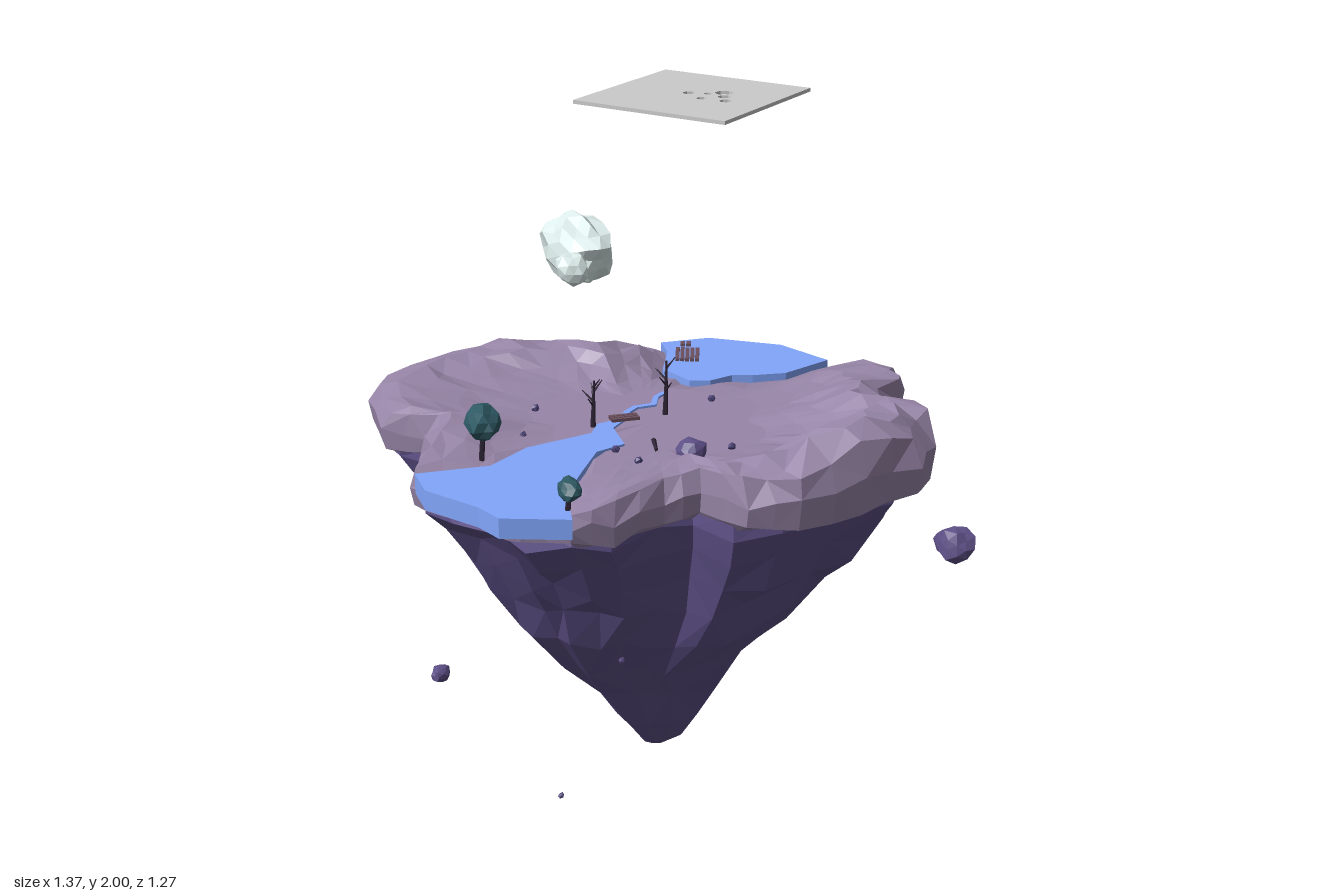
import * as THREE from 'three';

const mat = (color) => new THREE.MeshStandardMaterial({ color, flatShading: true });
const soil = mat(0x9886a8), stone = mat(0x5e5188), pebble = mat(0x4d4478), water = mat(0x82a6fb);
const leaf = mat(0x2f5a65), bark = mat(0x2f2637), plank = mat(0x6b4f5c), mist = mat(0xdeeeec), grey = mat(0xcccccc);

// Repeatable noise in -1..1
const noise = (a, b, c = 0) => {
  const s = Math.sin(a * 127.1 + b * 311.7 + c * 74.7) * 43758.5453;
  return (s - Math.floor(s)) * 2 - 1;
};
const named = (o, name) => { o.name = name; return o; };
const BASE = 1.115, WATER = 1.12;

// Island outline, running from +x towards +z: x, z, ridge height
const outline = [
  [0.655, -0.1, 1.22], [0.6, 0.04, 1.23], [0.53, 0.18, 1.18], [0.45, 0.26, 1.17], [0.32, 0.245, 1.16],
  [0.28, 0.32, 1.15], [0.26, 0.47, 1.14], [0.2, 0.54, 1.12], [0.09, 0.57, 1.09], [0.02, 0.56, 1.09],
  [-0.13, 0.56, 1.09], [-0.23, 0.545, 1.13], [-0.31, 0.42, 1.16], [-0.38, 0.325, 1.15], [-0.49, 0.35, 1.15],
  [-0.64, 0.23, 1.15], [-0.685, 0.09, 1.15], [-0.655, -0.055, 1.16], [-0.58, -0.165, 1.17], [-0.49, -0.255, 1.17],
  [-0.36, -0.27, 1.17], [-0.335, -0.42, 1.14], [-0.27, -0.47, 1.1], [-0.2, -0.53, 1.09], [-0.05, -0.58, 1.09],
  [0.09, -0.59, 1.1], [0.2, -0.635, 1.14], [0.29, -0.62, 1.15], [0.35, -0.55, 1.16], [0.385, -0.44, 1.17],
  [0.42, -0.35, 1.19], [0.54, -0.31, 1.21], [0.62, -0.22, 1.22],
];
const rim = outline.flatMap((p, i) => {
  const q = outline[(i + 1) % outline.length];
  return [p, p.map((v, k) => ((v + q[k]) / 2) * (k < 2 ? 1 + 0.015 * noise(i, 7) : 1))];
});

// Lake outlines: x, z
const frontLake = [
  [-0.21, 0.55], [-0.11, 0.42], [-0.115, 0.29], [-0.08, 0.2], [-0.055, 0.135], [-0.08, 0.08], [-0.06, 0.03],
  [-0.08, -0.02], [-0.085, -0.06], [-0.062, -0.1], [-0.085, -0.14], [-0.088, -0.18], [-0.076, -0.18],
  [-0.073, -0.145], [-0.046, -0.1], [-0.07, -0.06], [-0.066, -0.025], [-0.045, 0.03], [-0.035, 0.08],
  [0.045, 0.145], [0.025, 0.22], [0.07, 0.33], [0.1, 0.4], [0.15, 0.48], [0.215, 0.55], [0.09, 0.633],
  [0.02, 0.613], [-0.13, 0.608]];
const backLake = [
  [0.105, -0.6], [0.075, -0.46], [0.02, -0.4], [-0.02, -0.37], [-0.04, -0.31], [-0.08, -0.28], [-0.18, -0.31],
  [-0.245, -0.42], [-0.3, -0.47], [-0.225, -0.57], [-0.05, -0.63]];
const inside = (poly, x, z) => poly.reduce((hit, [ax, az], i) => {
  const [bx, bz] = poly[(i + 1) % poly.length];
  return (az > z) !== (bz > z) && x < ax + ((z - az) / (bz - az)) * (bx - ax) ? !hit : hit;
}, false);

// Skin between closed rings of equal point count
function skin(rings, material, name) {
  const n = rings[0].length, index = [];
  for (let i = 0; i < rings.length - 1; i++) {
    for (let k = 0; k < n; k++) {
      const a = i * n + k, b = i * n + ((k + 1) % n), c = a + n, d = b + n;
      if (noise(i, k, 4) > 0) index.push(a, b, c, b, d, c);
      else index.push(a, b, d, a, d, c);
    }
  }
  const geo = new THREE.BufferGeometry();
  geo.setAttribute('position', new THREE.Float32BufferAttribute(rings.flat(2), 3));
  geo.setIndex(index);
  geo.computeVertexNormals();
  return named(new THREE.Mesh(geo, material), name);
}

// Plateau: share of the outline, share of the ridge height
function plateau() {
  const steps = [[0, 0], [0.42, 0], [0.55, 0.17], [0.67, 0.5], [0.78, 0.87], [0.88, 0.95], [0.96, 0.75]];
  const rings = steps.map(([t, f], i) => rim.map(([x, z, h], k) => {
    const s = t * (1 + (i > 1 ? 0.035 * noise(i, k) : 0)), px = x * s, pz = z * s;
    let y = BASE + (h - BASE) * f * (1 + 0.25 * noise(k, i, 3));
    if (inside(frontLake, px, pz) || inside(backLake, px, pz)) y = Math.min(y, 1.1);
    return [px, y, pz];
  }));
  for (const [s, y, f] of [[1, 1.085, 0.45], [0.985, 1.045, 0.1], [0.9, 1.035, 0]]) {
    rings.push(rim.map(([x, z, h], k) => [x * s, y + (h - BASE) * f + 0.012 * noise(k, s * 9), z * s]));
  }
  return skin(rings, soil, 'plateau');
}

// Rocky underside: height, reach to +x, -x, +z, -z, neighbours merged into one facet
function underside() {
  const levels = [
    [1.07, 0.58, 0.62, 0.53, 0.59, 1], [1.02, 0.585, 0.655, 0.535, 0.6, 1], [0.95, 0.545, 0.6, 0.485, 0.58, 1],
    [0.88, 0.5, 0.54, 0.44, 0.56, 1], [0.8, 0.44, 0.51, 0.39, 0.48, 1], [0.7, 0.36, 0.42, 0.355, 0.345, 1],
    [0.6, 0.25, 0.3, 0.27, 0.27, 1], [0.5, 0.19, 0.19, 0.18, 0.2, 3], [0.4, 0.13, 0.09, 0.105, 0.14, 3],
    [0.33, 0.08, 0.03, 0.045, 0.09, 3], [0.305, 0.04, 0.005, 0.005, 0.045, 3]];
  const rings = levels.map(([y, right, left, front, back, merge], i) => outline.map((_, j) => {
    const k = (Math.round(j / merge) * merge) % outline.length, [x, z] = outline[k];
    const u = x / (x > 0 ? 0.655 : 0.685), v = z / (z > 0 ? 0.57 : 0.635), r = Math.hypot(u, v);
    // Lower rings lose the lobes and turn into a soft four-cornered section
    const corner = (Math.abs(u / r) ** 1.4 + Math.abs(v / r) ** 1.4) ** (-1 / 1.4);
    const blend = Math.min(1, (1.05 - y) * 2);
    const m = (1 + ((corner / r) - 1) * Math.max(0, blend)) * (1 + (i > 1 ? 0.035 : 0.015) * noise(k, i));
    // Off-centre reaches keep the tip at its place
    const cx = y < 0.45 ? (right - left) / 2 : 0, cz = y < 0.45 ? (front - back) / 2 : 0;
    return [
      cx + u * m * (x > 0 ? right - cx : left + cx),
      y + (i > 0 && i < 8 ? 0.018 * noise(k, i, 2) : 0),
      cz + v * m * (z > 0 ? front - cz : back + cz)];
  }));
  rings.push(outline.map(() => [0.02, 0.3, -0.02]));
  return skin(rings, stone, 'rockyUnderside');
}

// Flat shape laid on the ground plane and thickened upwards, with seven-sided holes
function slab(points, y, depth, material, name, holes = []) {
  const shape = new THREE.Shape(points.map(([x, z]) => new THREE.Vector2(x, -z)));
  for (const [x, z, r] of holes) {
    shape.holes.push(new THREE.Path(Array.from({ length: 7 }, (_, i) => {
      const a = 0.3 + x - (i * Math.PI * 2) / 7;
      return new THREE.Vector2(x + r * Math.cos(a), -z + r * Math.sin(a));
    })));
  }
  const geo = new THREE.ExtrudeGeometry(shape, { depth, bevelEnabled: false });
  geo.rotateX(-Math.PI / 2);
  const m = named(new THREE.Mesh(geo, material), name);
  m.position.y = y;
  return m;
}

// Faceted lump
function lump(name, material, [x, y, z], [sx, sy, sz], turn = 0, detail = 1, rough = 0.16) {
  const geo = new THREE.IcosahedronGeometry(1, detail), p = geo.attributes.position;
  for (let i = 0; i < p.count; i++) {
    const v = new THREE.Vector3().fromBufferAttribute(p, i);
    const [a, b, c] = v.toArray().map((q) => Math.round(q * 50));
    v.multiplyScalar(1 + rough * noise(a + x * 10, b, c));
    p.setXYZ(i, v.x, v.y, v.z);
  }
  geo.computeVertexNormals();
  const m = named(new THREE.Mesh(geo, material), name);
  m.position.set(x, y, z);
  m.scale.set(sx, sy, sz);
  m.rotation.y = turn;
  return m;
}

// Tapered stick between two points
function stick(a, b, r0, r1, name) {
  const A = new THREE.Vector3(...a), B = new THREE.Vector3(...b), d = B.clone().sub(A);
  const m = named(new THREE.Mesh(new THREE.CylinderGeometry(r1, r0, d.length(), 5), bark), name);
  m.position.copy(A).add(B).multiplyScalar(0.5);
  m.quaternion.setFromUnitVectors(new THREE.Vector3(0, 1, 0), d.normalize());
  return m;
}

function bareTree(x, z, h, seed) {
  const g = named(new THREE.Group(), 'bareTree');
  g.add(stick([x, BASE - 0.01, z], [x + 0.004, BASE + h, z], 0.007, 0.002, 'trunk'));
  for (let i = 0; i < 5; i++) {
    const a = i * 1.26 + seed, y = BASE + h * (0.45 + 0.1 * i);
    g.add(stick([x + 0.002, y, z], [x + 0.024 * Math.cos(a), y + 0.025, z + 0.024 * Math.sin(a)], 0.003, 0.001, 'branch'));
  }
  return g;
}

// Row of boards, length along local z
function boards(name, x, z, turn, count, width, length, y) {
  const g = named(new THREE.Group(), name);
  for (let i = 0; i < count; i++) {
    const b = named(new THREE.Mesh(new THREE.BoxGeometry(width * 0.8, 0.007, length), plank), 'board');
    b.position.x = (i - (count - 1) / 2) * width;
    g.add(b);
  }
  g.position.set(x, y, z);
  g.rotation.y = turn;
  return g;
}

export function createModel() {
  const model = named(new THREE.Group(), 'floatingIsland');
  model.add(plateau(), underside());
  model.add(slab(frontLake, WATER - 0.045, 0.045, water, 'frontLakeAndRiver'));
  model.add(slab(backLake, WATER - 0.045, 0.045, water, 'backLake'));
  // Hovering plate with holes
  model.add(slab([[0.283, 0.618], [0.606, 0.595], [0.58, 0.272], [0.262, 0.297]], 1.993, 0.007, grey, 'hoveringPlate', [
    [0.474, 0.404, 0.018], [0.42, 0.442, 0.012], [0.453, 0.427, 0.008], [0.493, 0.431, 0.013],
    [0.466, 0.467, 0.01], [0.515, 0.459, 0.012]]));
  // Clouds
  model.add(lump('largeCloud', mist, [0.035, 1.6, 0.292], [0.117, 0.069, 0.064], -0.5, 2, 0.13));
  model.add(lump('smallCloud', mist, [0.117, 1.6, 0.418], [0.052, 0.034, 0.033], -0.8));
  // Drifting rocks
  for (const [x, y, z, r] of [[0.63, 0.87, -0.31, 0.048], [-0.305, 0.55, 0.385, 0.024], [0.29, 0.8, 0.485, 0.008],
    [-0.1, 0.785, -0.53, 0.022], [-0.325, 0.009, -0.075, 0.009]]) {
    model.add(lump('driftingRock', stone, [x, y, z], [r, r * 0.88, r * 0.85], x * 5, r > 0.023 ? 1 : 0));
  }
  // Boulder and pebbles on the plateau
  model.add(lump('boulder', stone, [0.2, 1.13, 0.11], [0.034, 0.027, 0.04], 0.4));
  for (const [x, z] of [[0.13, 0.21], [0.05, 0.185], [-0.165, 0.24], [0.245, 0.02], [0.27, -0.205], [0.035, -0.205],
    [-0.245, -0.195], [-0.255, 0.085]]) {
    model.add(lump('pebble', pebble, [x, BASE + 0.006, z], [0.01, 0.01, 0.009], x * 9, 0));
  }
  // Leafy trees by the front lake
  for (const [x, y, z, sx, sy, sz, turn] of [[-0.143, 1.205, 0.4, 0.068, 0.037, 0.037, -0.85],
    [0.182, 1.168, 0.515, 0.042, 0.023, 0.026, -0.8]]) {
    model.add(stick([x - 0.01, 1.09, z], [x, y, z], 0.007, 0.005, 'leafyTreeTrunk'));
    model.add(lump('leafyCrown', leaf, [x, y, z], [sx, sy, sz], turn));
  }
  // Bare trees and a fallen log
  model.add(bareTree(0, -0.07, 0.13, 0.3), bareTree(-0.085, 0.09, 0.11, 1.4));
  model.add(stick([0.08, 1.118, 0.085], [0.12, 1.118, 0.13], 0.006, 0.004, 'fallenLog'));
  // Foot bridge, jetty and its step
  model.add(boards('footBridge', -0.042, 0.03, -0.65, 3, 0.011, 0.065, 1.128));
  model.add(boards('jetty', -0.178, -0.41, 0.6, 5, 0.012, 0.085, 1.13));
  model.add(boards('jettyStep', -0.215, -0.455, 0.6, 2, 0.014, 0.022, 1.137));
  return model;
}
